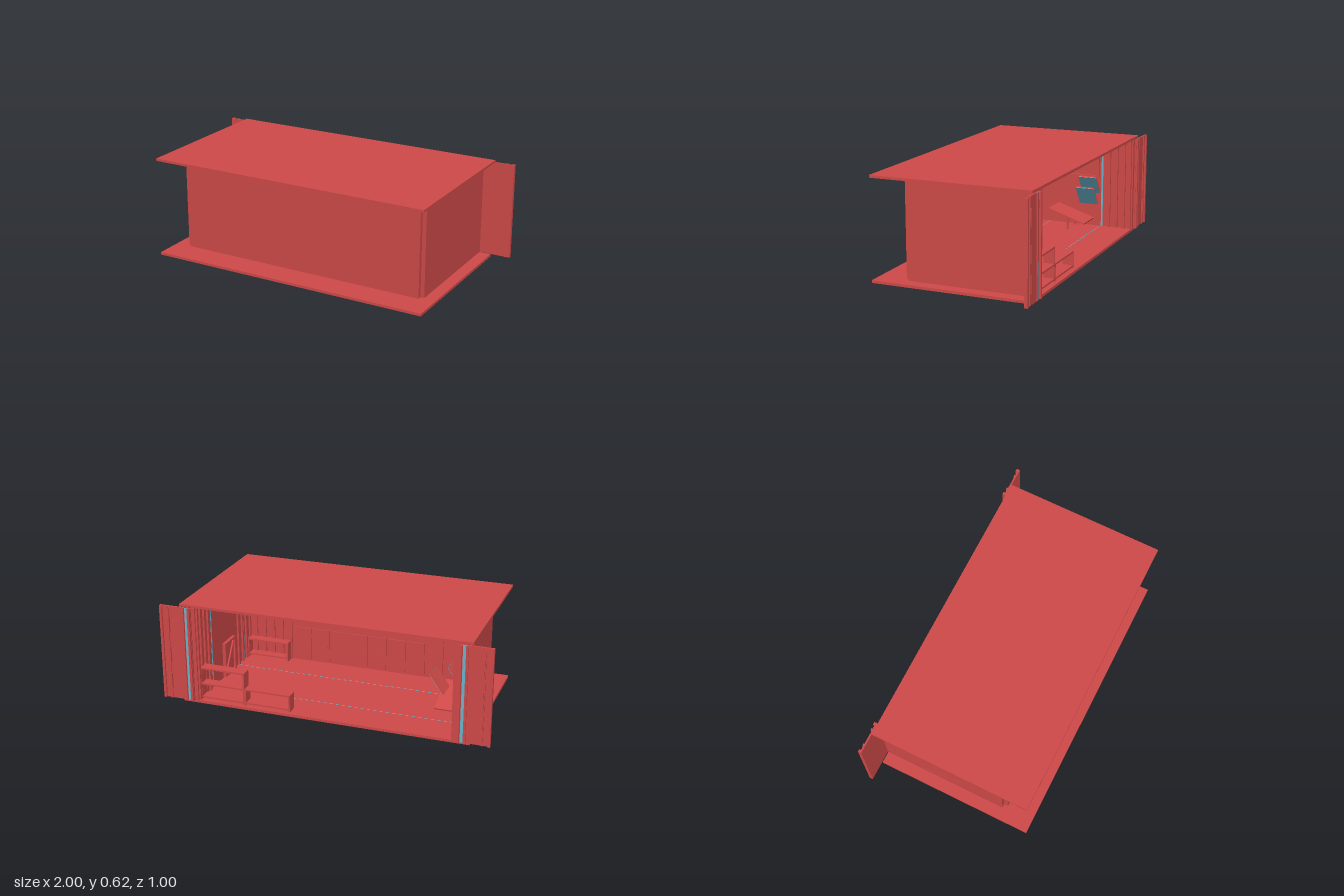
import * as THREE from 'three';

const red = new THREE.MeshStandardMaterial({ color: 0xcf4a48 });
red.name = 'red panel';
const blue = new THREE.MeshStandardMaterial({ color: 0x6bb4cb });
blue.name = 'blue inlay';

// Box given by its lowest and highest corners
function slab(parent, name, x0, x1, y0, y1, z0, z1, mat = red) {
  const mesh = new THREE.Mesh(new THREE.BoxGeometry(x1 - x0, y1 - y0, z1 - z0), mat);
  mesh.position.set((x0 + x1) / 2, (y0 + y1) / 2, (z0 + z1) / 2);
  mesh.name = name;
  parent.add(mesh);
  return mesh;
}

function group(parent, name) {
  const g = new THREE.Group();
  g.name = name;
  parent.add(g);
  return g;
}

// Open shelf: boards at the given heights between two end panels
function shelf(parent, name, x0, x1, z0, z1, heights) {
  const g = group(parent, name);
  const top = heights[heights.length - 1], t = 0.01;
  for (const y of heights) slab(g, 'shelfBoard', x0, x1, y - t, y, z0, z1);
  for (const x of [x0, x1 - t]) slab(g, 'shelfEnd', x, x + t, 0.016, top - t, z0, z1);
}

export function createModel() {
  const model = new THREE.Group();
  model.name = 'openRoom';
  const low = 0.016, high = 0.603;

  // Floor and roof, both reaching out past the front wall
  slab(model, 'floor', -0.88, 0.88, 0, low, -0.475, 0.5);
  slab(model, 'roof', -0.88, 0.88, high, 0.618, -0.475, 0.5);

  // Walls, meeting only at their inner corner edges
  slab(model, 'frontWall', -0.783, 0.783, low, high, 0.305, 0.33);
  for (const s of [-1, 1]) {
    const a = s * 0.783, b = s * 0.807;
    slab(model, 'sideWall', Math.min(a, b), Math.max(a, b), low, high, -0.478, 0.305);
  }

  // Dashed slots across floor and ceiling
  const slots = group(model, 'slots');
  for (const z of [0.09, -0.26]) {
    for (let i = 0; i < 40; i++) {
      const x = -0.77 + i * 0.039;
      slab(slots, 'floorSlot', x, x + 0.02, low, low + 0.001, z - 0.003, z + 0.003, blue);
      slab(slots, 'ceilingSlot', x, x + 0.02, high - 0.001, high, z - 0.003, z + 0.003, blue);
    }
  }

  // Flanges beside the open back, with raised strips, inlay and tabs
  for (const s of [-1, 1]) {
    const g = group(model, s > 0 ? 'leftFlange' : 'rightFlange');
    const strip = (name, a, b, y0, y1, z0, z1, mat) =>
      slab(g, name, Math.min(s * a, s * b), Math.max(s * a, s * b), y0, y1, z0, z1, mat);
    strip('flangePlate', 0.805, 1, low, high, -0.488, -0.478);
    for (const [a, b, z] of [[0.807, 0.822, -0.5], [0.845, 0.858, -0.496], [0.945, 0.957, -0.494], [0.984, 1, -0.499]])
      strip('flangeStrip', a, b, low, high, z, -0.488);
    strip('flangeInlay', 0.825, 0.842, low, high, -0.489, -0.488, blue);
    for (const y of [0.08, 0.245, 0.44]) strip('flangeTab', 0.94, 0.952, y, y + 0.1, -0.5, -0.488);
  }

  // Vertical battens on the inside of the walls
  const battens = group(model, 'battens');
  for (const s of [-1, 1]) {
    for (const z of [-0.46, -0.42, -0.37, -0.32, 0.1, 0.16, 0.22, 0.28]) {
      if (s < 0 && z > -0.3 && z < 0.15) continue;
      const x = s * 0.777;
      slab(battens, 'sideBatten', x - 0.006, x + 0.006, low, high, z - 0.008, z + 0.008);
    }
    for (const z of [-0.27, 0.19]) {
      const x = s * 0.7825;
      slab(battens, 'sideInlay', x - 0.001, x + 0.001, low, high, z - 0.006, z + 0.006, blue);
    }
  }
  for (const x of [0.74, 0.68, 0.62, 0.56, 0.5, -0.5, -0.58, -0.66, -0.74])
    slab(battens, 'frontBatten', x - 0.009, x + 0.009, low, high, 0.295, 0.305);

  // Row of cupboard doors along the front wall
  const cupboards = group(model, 'cupboards');
  for (let i = 0; i < 7; i++) {
    const x = 0.36 - i * 0.125;
    slab(cupboards, 'cupboardDoor', x, x + 0.115, 0.03, 0.24, 0.297, 0.305);
    slab(cupboards, 'doorKnob', x + 0.015, x + 0.025, 0.13, 0.14, 0.29, 0.297);
  }

  // Shelves: a stepped pair by the opening and one in the far corner
  shelf(model, 'tallShelf', 0.495, 0.78, -0.45, -0.385, [0.035, 0.12, 0.22]);
  shelf(model, 'lowShelf', 0.207, 0.495, -0.45, -0.385, [0.035, 0.12]);
  shelf(model, 'cornerShelf', 0.5, 0.78, 0.243, 0.303, [0.04, 0.14]);

  // Braced frame standing against the left wall
  const frame = group(model, 'bracedFrame');
  for (const z of [-0.14, -0.002]) slab(frame, 'framePost', 0.755, 0.768, 0.03, 0.25, z, z + 0.012);
  for (const y of [0.03, 0.238]) slab(frame, 'frameRail', 0.755, 0.768, y, y + 0.012, -0.14, 0.01);
  slab(frame, 'frameBack', 0.768, 0.776, 0.03, 0.25, -0.14, 0.01);
  const brace = slab(frame, 'frameBrace', 0.757, 0.767, 0.02, 0.26, -0.071, -0.059);
  brace.rotation.x = 0.55;

  // Window frame on the right wall
  const win = group(model, 'windowFrame');
  for (const z of [-0.25, 0.07]) slab(win, 'windowPost', -0.783, -0.768, 0.34, 0.57, z, z + 0.012);
  for (const y of [0.34, 0.56]) slab(win, 'windowRail', -0.783, -0.768, y, y + 0.012, -0.25, 0.082);

  // Reclined seat by the right wall, its edge reaching just through it
  const seat = group(model, 'reclinedSeat');
  const board = slab(seat, 'seatBoard', -0.81, -0.6, 0.1, 0.108, -0.22, 0.04);
  board.rotation.x = -0.32;
  for (const [x, y, z] of [[-0.63, 0.25, -0.22], [-0.73, 0.3, -0.2]]) {
    const leaf = group(seat, 'leaningLeaf');
    slab(leaf, 'leafBoard', -0.005, 0.005, -0.07, 0.07, -0.06, 0.06);
    slab(leaf, 'leafFace', 0.005, 0.007, -0.07, 0.07, -0.06, 0.06, blue);
    leaf.position.set(x, y, z);
    leaf.rotation.z = -0.6;
  }
  for (const x of [-0.75, -0.62]) slab(seat, 'seatLeg', x, x + 0.01, low, 0.1, -0.1, -0.09);

  return model;
}
